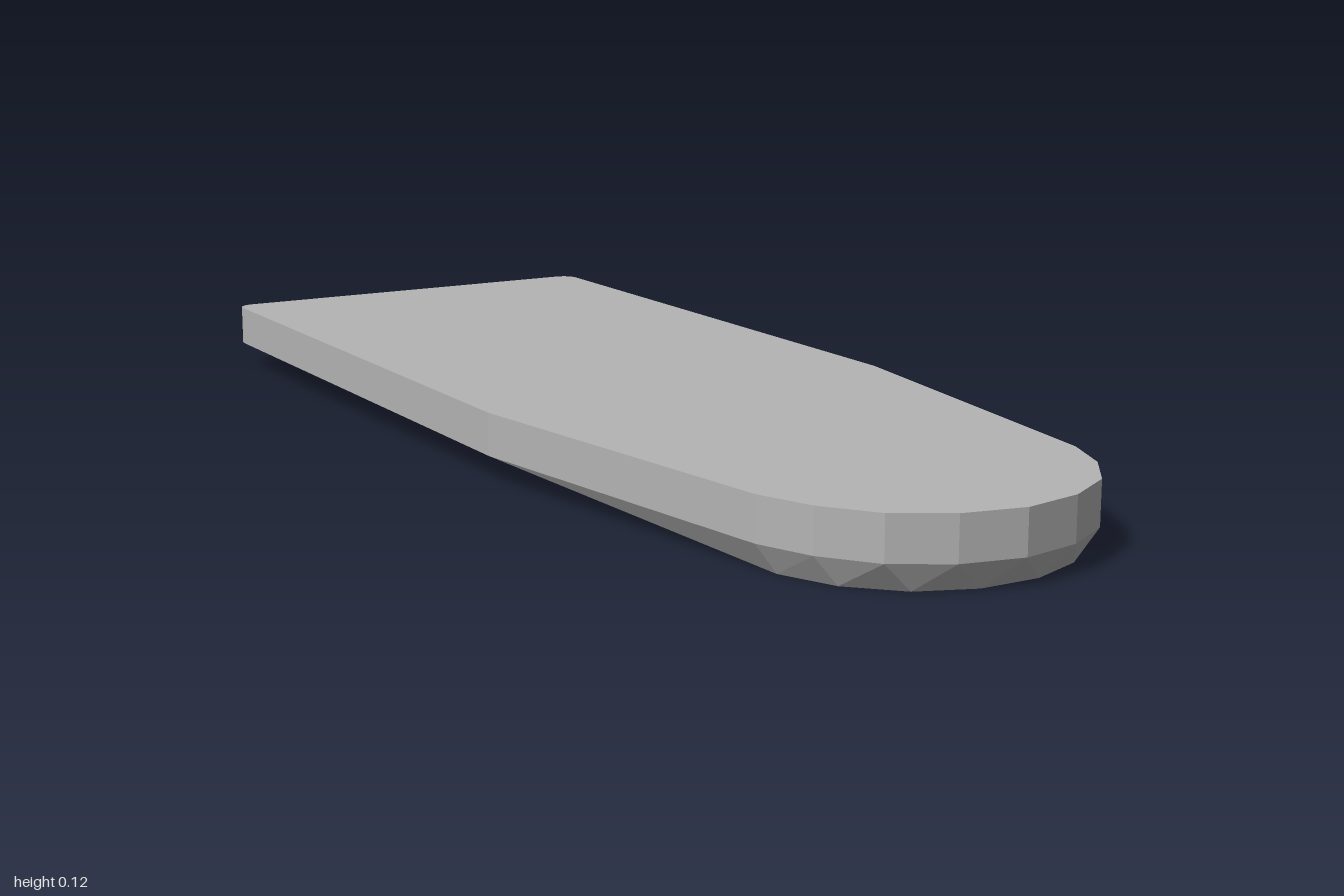
import * as THREE from 'three';
import { ConvexGeometry } from 'three/addons/geometries/ConvexGeometry.js';

const TOP = 0.115, RIM = 0.045;

export function createModel() {
  const group = new THREE.Group();
  group.name = 'taperedSlab';
  const grey = new THREE.MeshStandardMaterial({ color: 0xb4b4b4 });
  grey.name = 'plain grey';

  // Half outline of the rim: faceted nose, taper, straight side
  const rim = [[0, 1], [0.1, 0.98], [0.185, 0.93], [0.245, 0.85], [0.28, 0.76], [0.37, 0.12]];
  // Small rounded corner at the back
  const r = 0.03;
  for (let i = 0; i <= 5; i++) {
    const a = (i / 5) * Math.PI / 2;
    rim.push([0.37 - r + r * Math.cos(a), -1 + r - r * Math.sin(a)]);
  }
  // Half outline of the flat foot under the nose
  const foot = [[0.05, 0.965], [0.14, 0.93], [0.21, 0.86], [0.25, 0.77], [0.24, 0.6]];

  // Mirror each outline at its height and wrap one faceted skin around them
  const points = [];
  const addOutline = (half, y) => {
    for (const [x, z] of half) {
      points.push(new THREE.Vector3(x, y, z));
      if (x > 0) points.push(new THREE.Vector3(-x, y, z));
    }
  };
  addOutline(rim, TOP);
  addOutline(rim, RIM);
  addOutline(foot, 0);

  const slab = new THREE.Mesh(new ConvexGeometry(points), grey);
  slab.name = 'slab';
  group.add(slab);
  return group;
}
